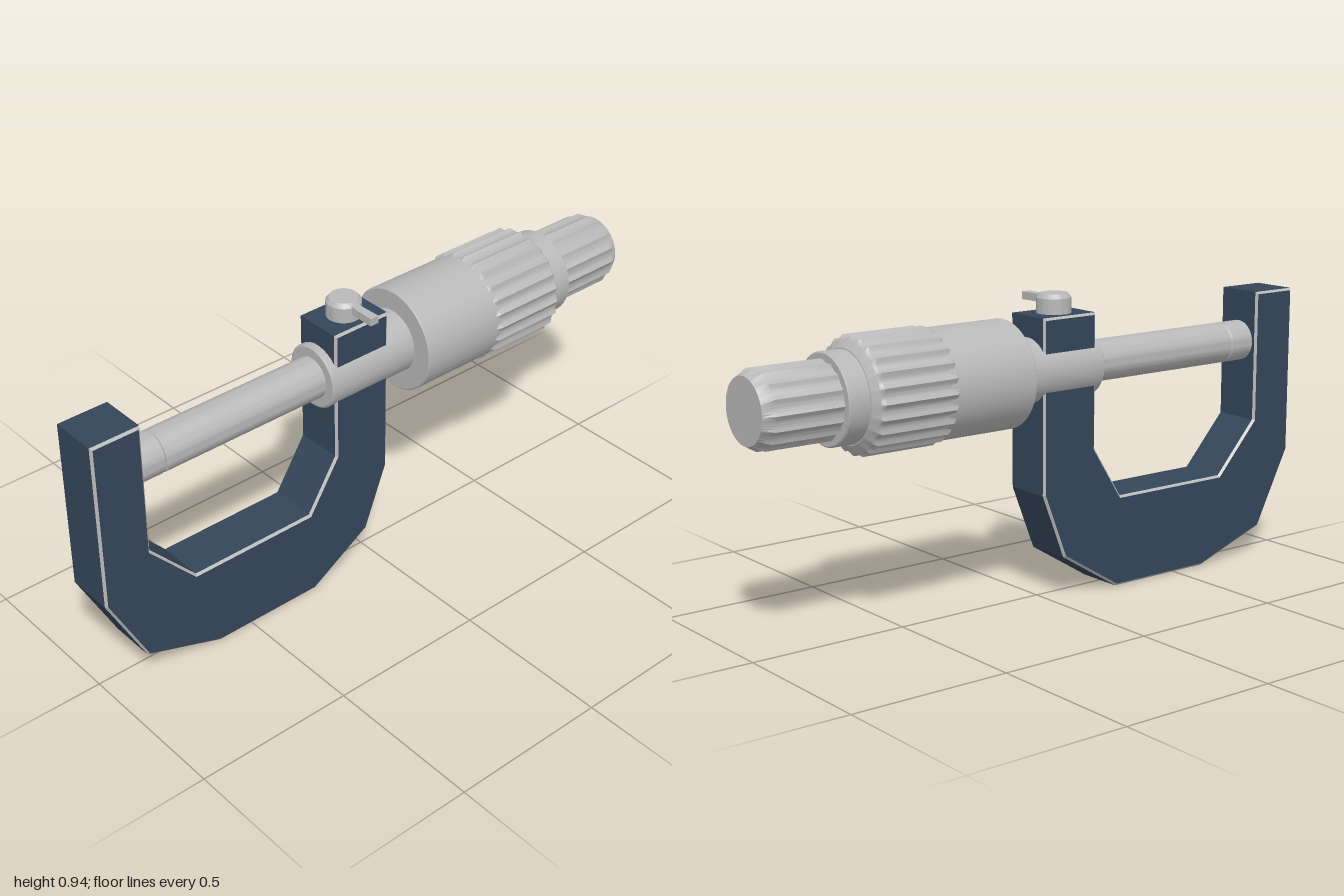
import * as THREE from 'three';
import { toCreasedNormals } from 'three/addons/utils/BufferGeometryUtils.js';

const AXIS_Y = 0.71;

export function createModel() {
  const steel = new THREE.MeshStandardMaterial({ color: 0xb8b8b8 });
  steel.name = 'steel';
  const enamel = new THREE.MeshStandardMaterial({ color: 0x34465a });
  enamel.name = 'dark blue enamel';

  const model = new THREE.Group();
  model.name = 'micrometer';

  const add = (name, geometry, material, x = 0, y = 0, z = 0) => {
    const mesh = new THREE.Mesh(geometry, material);
    mesh.name = name;
    mesh.position.set(x, y, z);
    model.add(mesh);
    return mesh;
  };

  // Turned part: profile rows are [position, radius, fluteDepth]
  const turned = (profile, flutes = 0) => {
    const points = profile.map(([p, r]) => new THREE.Vector2(r, p));
    const geo = new THREE.LatheGeometry(points, flutes ? flutes * 6 : 48);
    const pos = geo.attributes.position;
    if (flutes) {
      for (let i = 0; i < pos.count; i++) {
        const [, r, depth = 0] = profile[i % profile.length];
        if (!r || !depth) continue;
        const angle = Math.atan2(pos.getX(i), pos.getZ(i));
        const k = 1 - (depth / r) * Math.abs(Math.sin(angle * flutes / 2));
        pos.setX(i, pos.getX(i) * k);
        pos.setZ(i, pos.getZ(i) * k);
      }
    }
    return toCreasedNormals(geo, 0.45);
  };
  const onAxis = (name, profile, flutes) =>
    add(name, turned(profile, flutes).rotateZ(-Math.PI / 2), steel, 0, AXIS_Y, 0);

  // Plain cylinder along the axis with small chamfers
  const rod = (name, x0, x1, r, c = 0.006) =>
    onAxis(name, [[x0, 0], [x0, r - c], [x0 + c, r], [x1 - c, r], [x1, r - c], [x1, 0]]);

  // U-shaped frame, with bare metal on the bevelled edges
  const outline = [
    [-1, 0.875], [-1, 0.335], [-0.875, 0.09], [-0.62, 0], [-0.255, 0],
    [-0.045, 0.13], [0.035, 0.335], [0.035, 0.875], [-0.165, 0.875],
    [-0.165, 0.455], [-0.27, 0.29], [-0.69, 0.29], [-0.84, 0.455], [-0.84, 0.875],
  ].map(([x, y]) => new THREE.Vector2(x, y));
  const bevel = 0.007, half = 0.081;
  const frame = new THREE.ExtrudeGeometry(new THREE.Shape(outline), {
    depth: 2 * (half - bevel), bevelEnabled: true, bevelSegments: 1,
    bevelSize: bevel, bevelThickness: bevel, bevelOffset: -bevel,
  });
  frame.translate(0, 0, -(half - bevel));
  frame.clearGroups();
  const normals = frame.attributes.normal;
  for (let i = 0; i < normals.count; i += 3) {
    const nz = Math.abs(normals.getZ(i));
    frame.addGroup(i, 3, nz > 0.2 && nz < 0.95 ? 1 : 0);
  }
  add('frame', frame, [enamel, steel]);

  // Measuring faces and barrel
  rod('anvil', -0.85, -0.752, 0.065);
  rod('spindle', -0.752, -0.17, 0.065);
  rod('sleeve', -0.188, 0.14, 0.1);

  // Thimble with a knurled grip
  rod('thimble', 0.125, 0.43, 0.165, 0.004);
  onAxis('thimbleGrip', [
    [0.4, 0], [0.4, 0.163], [0.415, 0.174, 0.011], [0.655, 0.174, 0.011],
    [0.665, 0.164, 0.004], [0.682, 0.138], [0.682, 0],
  ], 24);
  rod('ratchetNeck', 0.67, 0.75, 0.135, 0.004);

  // Fluted ratchet knob
  onAxis('ratchetKnob', [
    [0.74, 0], [0.74, 0.11], [0.755, 0.117, 0.009], [0.965, 0.117, 0.009],
    [1, 0.097], [1, 0],
  ], 16);

  // Spindle lock and its lever
  add('lockKnob', turned([
    [0.865, 0], [0.865, 0.053], [0.922, 0.053], [0.935, 0.043], [0.935, 0],
  ]), steel, -0.065, 0, 0);
  const lever = new THREE.BoxGeometry(0.03, 0.024, 0.105);
  const lp = lever.attributes.position;
  for (let i = 0; i < lp.count; i++) if (lp.getZ(i) < 0) lp.setX(i, lp.getX(i) * 0.75);
  lever.computeVertexNormals();
  add('lockLever', lever, steel, -0.065, 0.913, 0.0825);

  return model;
}
